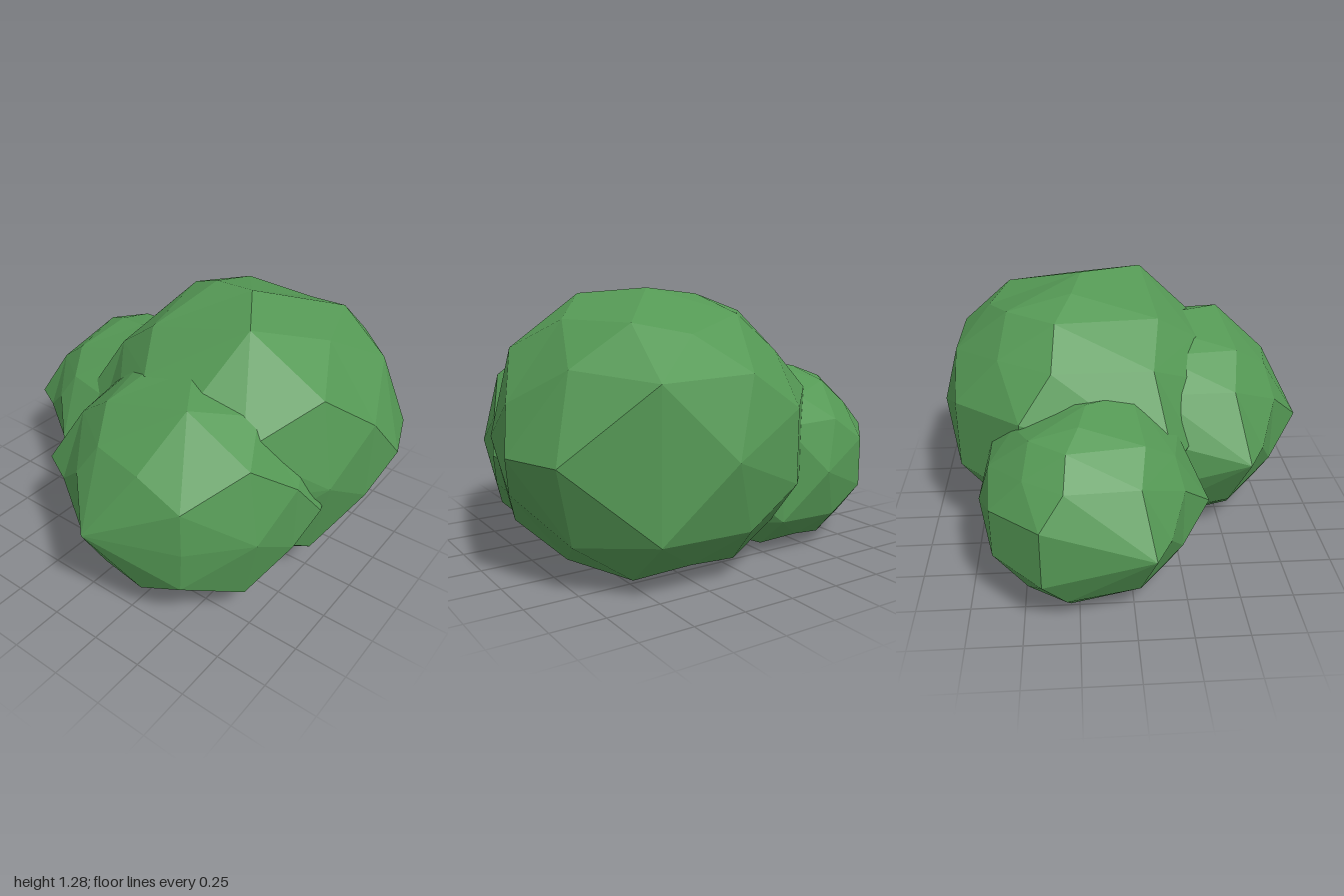
import * as THREE from 'three';
import { ConvexGeometry } from 'three/addons/geometries/ConvexGeometry.js';

// Corners of one lumpy clump on its middle ring [x, z]
const ring = [
  [0, -0.73], [0.67, -0.43], [0.77, -0.15], [0.66, 0.31], [0.395, 0.61],
  [-0.117, 0.81], [-0.55, 0.51], [-0.765, 0.4],
];

// Corners above the ring [x, y, z]; mirrored below it with a flattened base
const upper = [
  [0, 0.68, 0], [0.2, 0.65, 0.31], [-0.24, 0.65, -0.05],
  [0.43, 0.55, 0], [0.3, 0.55, -0.38], [-0.25, 0.57, -0.36], [-0.43, 0.57, -0.13],
  [0.115, 0.38, 0.615], [-0.2, 0.4, 0.56], [-0.54, 0.37, 0.32], [-0.31, 0.54, 0.36],
  [0.57, 0.41, 0.27], [0.56, 0.37, -0.33], [0.06, 0.5, -0.47],
  [-0.14, 0.34, -0.63], [-0.44, 0.4, -0.4], [-0.61, 0.4, -0.15],
  [0.7, 0.2, 0], [0.38, 0.25, 0.6], [-0.32, 0.21, 0.615],
  [-0.71, 0.2, -0.3], [-0.4, 0.17, -0.62], [0.31, 0.33, -0.63],
];

function clumpGeometry() {
  const corners = [
    ...ring.map(([x, z]) => new THREE.Vector3(x, 0, z)),
    ...upper.map((p) => new THREE.Vector3(...p)),
    ...upper.map(([x, y, z]) => new THREE.Vector3(x, -Math.min(y, 0.6 - 0.08 * Math.hypot(x, z)), z)),
  ];
  // Join the corners as seen from the middle, then move each to its own radius
  const directions = corners.map((c) => c.clone().normalize());
  const geometry = new ConvexGeometry(directions);
  const position = geometry.attributes.position;
  const v = new THREE.Vector3();
  for (let i = 0; i < position.count; i++) {
    v.fromBufferAttribute(position, i);
    let best = 0;
    directions.forEach((d, k) => {
      if (d.distanceToSquared(v) < directions[best].distanceToSquared(v)) best = k;
    });
    position.setXYZ(i, corners[best].x, corners[best].y, corners[best].z);
  }
  geometry.computeVertexNormals();
  return geometry;
}

export function createModel() {
  const bush = new THREE.Group();
  bush.name = 'bush';
  const leaves = new THREE.MeshStandardMaterial({ color: 0x559955, flatShading: true });
  const geometry = clumpGeometry();

  // The same clump of foliage at three sizes
  const clumps = [
    ['largeClump', 1, [0.23, 0.6, -0.2]],
    ['frontClump', 0.825, [0.236, 0.495, 0.264]],
    ['sideClump', 0.695, [-0.47, 0.417, -0.2]],
  ];
  for (const [name, size, place] of clumps) {
    const clump = new THREE.Mesh(geometry, leaves);
    clump.name = name;
    clump.scale.setScalar(size);
    clump.position.set(...place);
    bush.add(clump);
  }
  return bush;
}
